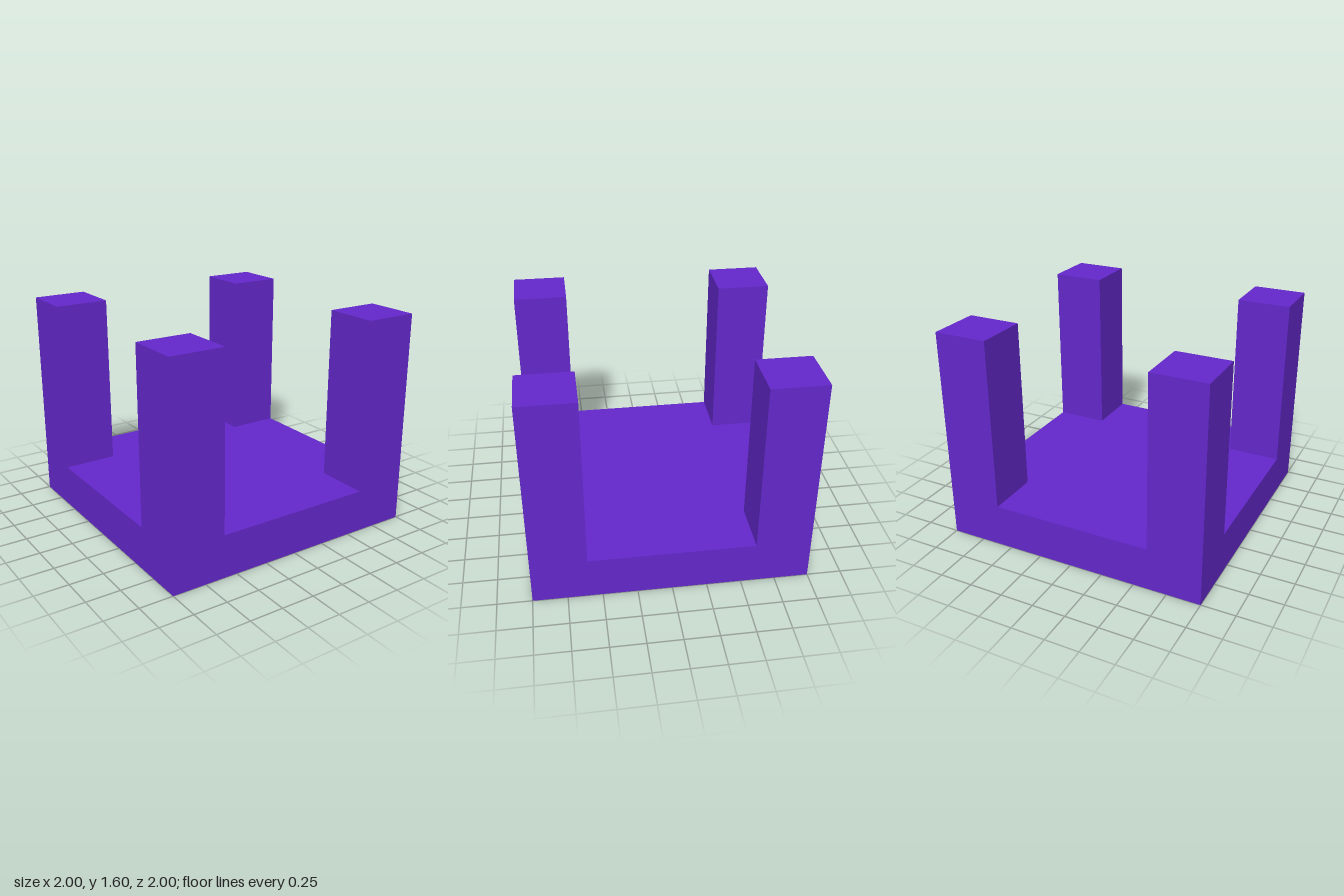
import * as THREE from 'three';

const SIZE = 2, HEIGHT = 1.6, SLAB = 0.32, POST = 0.4;

export function createModel() {
  const group = new THREE.Group();
  const material = new THREE.MeshStandardMaterial({ color: 0x6428cc });

  // Square slab
  const slab = new THREE.Mesh(new THREE.BoxGeometry(SIZE, SLAB, SIZE), material);
  slab.name = 'slab';
  slab.position.y = SLAB / 2;
  group.add(slab);

  // Four corner posts, flush with the slab's outer sides
  const postHeight = HEIGHT - SLAB;
  const postGeometry = new THREE.BoxGeometry(POST, postHeight, POST);
  const offset = (SIZE - POST) / 2;
  for (const [sx, side] of [[1, 'Left'], [-1, 'Right']]) {
    for (const [sz, end] of [[1, 'front'], [-1, 'back']]) {
      const post = new THREE.Mesh(postGeometry, material);
      post.name = `${end}${side}Post`;
      post.position.set(sx * offset, SLAB + postHeight / 2, sz * offset);
      group.add(post);
    }
  }
  return group;
}
